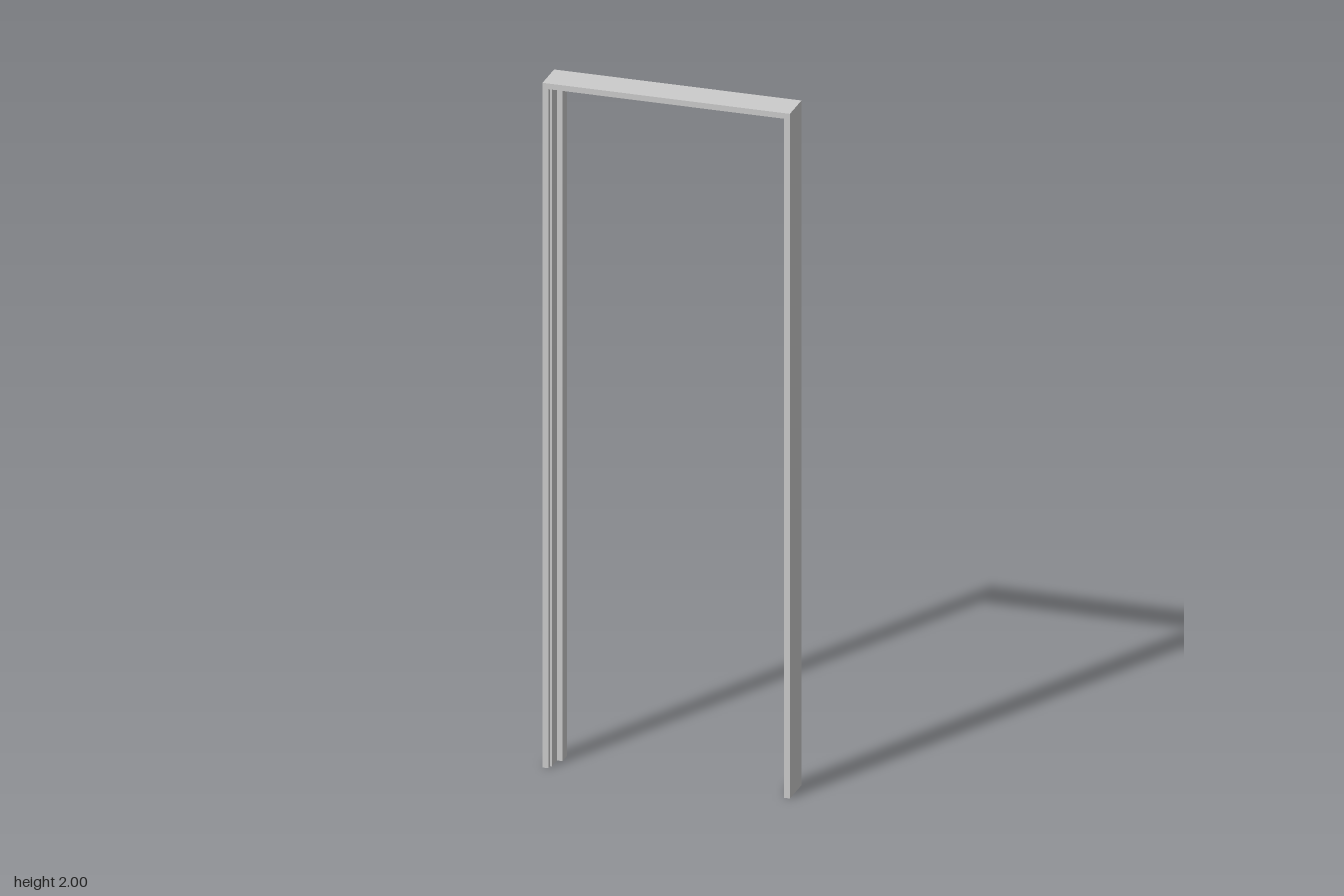
import * as THREE from 'three';

const HALF_WIDTH = 0.352, HEIGHT = 2;

// Rebated frame section: [inset from the outer edge, z], anticlockwise
const PROFILE = [
  [0, -0.05], [0.037, -0.05], [0.037, -0.01], [0.0215, -0.01],
  [0.0215, 0.035], [0.0165, 0.035], [0.0165, 0.05], [0, 0.05],
];

// Stations along the opening; insetting by t mitres the upper corners
const STATIONS = [
  (t, z) => [-HALF_WIDTH + t, 0, z],
  (t, z) => [-HALF_WIDTH + t, HEIGHT - t, z],
  (t, z) => [HALF_WIDTH - t, HEIGHT - t, z],
  (t, z) => [HALF_WIDTH - t, 0, z],
];

// One straight member between two stations, with a floor cap where needed
function member(name, index, material, cap = null) {
  const from = STATIONS[index], to = STATIONS[index + 1];
  const positions = [];
  PROFILE.forEach((p, i) => {
    const q = PROFILE[(i + 1) % PROFILE.length];
    const a = from(...p), b = from(...q), c = to(...q), d = to(...p);
    positions.push(...a, ...c, ...b, ...a, ...d, ...c);
  });
  if (cap) {
    const outline = PROFILE.map(([t, z]) => new THREE.Vector2(t, z));
    const station = cap === 'start' ? from : to;
    for (const face of THREE.ShapeUtils.triangulateShape(outline, [])) {
      const order = cap === 'start' ? face : [...face].reverse();
      order.forEach((k) => positions.push(...station(...PROFILE[k])));
    }
  }
  const geometry = new THREE.BufferGeometry();
  geometry.setAttribute('position', new THREE.Float32BufferAttribute(positions, 3));
  geometry.computeVertexNormals();
  const mesh = new THREE.Mesh(geometry, material);
  mesh.name = name;
  return mesh;
}

export function createModel() {
  const group = new THREE.Group();
  group.name = 'doorFrame';
  const material = new THREE.MeshStandardMaterial({
    color: 0xcccccc, flatShading: true, side: THREE.DoubleSide,
  });
  group.add(
    member('rightJamb', 0, material, 'start'),
    member('headJamb', 1, material),
    member('leftJamb', 2, material, 'end'),
  );
  return group;
}
